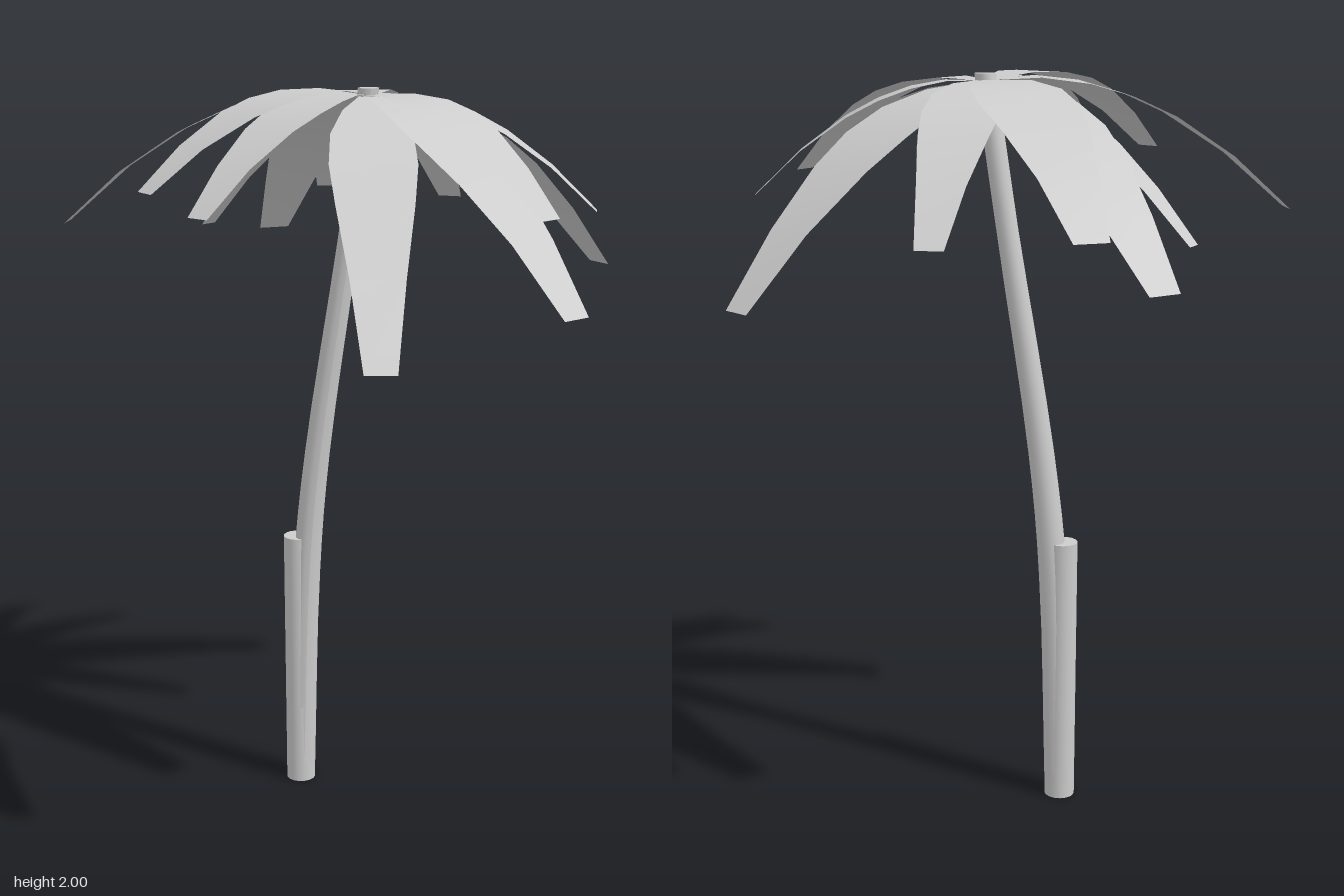
import * as THREE from 'three';

const grey = new THREE.MeshStandardMaterial({ color: 0xcccccc, side: THREE.DoubleSide });
grey.name = 'plain grey';

// crown centre where every frond starts
const ROOT = new THREE.Vector3(0.003, 1.982, -0.025);

// relative frond width along its length: [t, width / tip width]
const WIDTHS = [[0, 0.5], [0.17, 1.8], [0.32, 2.65], [0.46, 2.8], [0.6, 2.45], [0.8, 1.7], [1, 1]];

// each frond: tip x, tip y, tip z, tip width
const FRONDS = [
  [-0.105, 1.535, -0.778, 0.09],
  [0.07, 1.66, -0.748, 0.09],
  [0.393, 1.64, -0.575, 0.07],
  [0.757, 1.475, -0.27, 0.083],
  [0.56, 1.693, 0.192, 0.053],
  [0.343, 1.505, 0.638, 0.083],
  [0.32, 1.72, 0.503, 0.07],
  [-0.167, 1.43, 0.772, 0.077],
  [-0.505, 1.73, 0.345, 0.064],
  [-0.61, 1.775, 0.197, 0.07],
  [-0.763, 1.645, -0.282, 0.079],
  [-0.35, 1.595, -0.495, 0.052],
];

// arched, tapered strip from the crown to a drooping tip
function makeFrond([x, y, z, tipWidth]) {
  const dx = x - ROOT.x, dz = z - ROOT.z;
  const length = Math.hypot(dx, dz);
  const bend = 0.58 * length;
  const tilt = ROOT.y - y - bend;
  const sideX = dz / length, sideZ = -dx / length;
  const positions = [], index = [];
  WIDTHS.forEach(([t, w], i) => {
    const half = w * tipWidth / 2;
    const py = ROOT.y - tilt * t - bend * t * t;
    for (const s of [-1, 1]) {
      positions.push(ROOT.x + dx * t + s * sideX * half, py, ROOT.z + dz * t + s * sideZ * half);
    }
    if (i > 0) {
      const a = 2 * (i - 1);
      index.push(a, a + 1, a + 2, a + 1, a + 3, a + 2);
    }
  });
  const geometry = new THREE.BufferGeometry();
  geometry.setAttribute('position', new THREE.Float32BufferAttribute(positions, 3));
  // wind the faces so that they look upwards
  geometry.setIndex(index);
  geometry.computeVertexNormals();
  if (geometry.attributes.normal.getY(4) < 0) {
    geometry.setIndex(index.reverse());
    geometry.computeVertexNormals();
  }
  return new THREE.Mesh(geometry, grey);
}

// leaning trunk: a cylinder whose rings follow a curve and a taper
function makeTrunk() {
  const stations = [
    [-0.168, 0, -0.158, 0.041],
    [-0.147, 0.65, -0.147, 0.039],
    [-0.118, 1, -0.125, 0.035],
    [-0.04, 1.6, -0.07, 0.029],
    [0.005, 2, -0.028, 0.028],
  ];
  const curve = new THREE.CatmullRomCurve3(stations.map(([x, y, z]) => new THREE.Vector3(x, y, z)));
  const geometry = new THREE.CylinderGeometry(1, 1, 1, 16, 16);
  const pos = geometry.attributes.position;
  const last = stations.length - 1;
  for (let i = 0; i < pos.count; i++) {
    const t = pos.getY(i) + 0.5;
    const p = curve.getPoint(t);
    const k = Math.min(Math.floor(t * last), last - 1);
    const r = THREE.MathUtils.lerp(stations[k][3], stations[k + 1][3], t * last - k);
    pos.setXYZ(i, p.x + pos.getX(i) * r, p.y, p.z + pos.getZ(i) * r);
  }
  geometry.computeVertexNormals();
  return new THREE.Mesh(geometry, grey);
}

export function createModel() {
  const model = new THREE.Group();
  model.name = 'palmTree';

  const trunk = makeTrunk();
  trunk.name = 'trunk';
  model.add(trunk);

  // upright stump around the foot of the trunk
  const stump = new THREE.Mesh(new THREE.CylinderGeometry(0.042, 0.042, 0.75, 16), grey);
  stump.name = 'stump';
  stump.position.set(-0.168, 0.375, -0.158);
  model.add(stump);

  // crown of fronds
  const crown = new THREE.Group();
  crown.name = 'crown';
  FRONDS.forEach((data, i) => {
    const frond = makeFrond(data);
    frond.name = 'frond' + (i + 1);
    crown.add(frond);
  });
  model.add(crown);

  return model;
}
